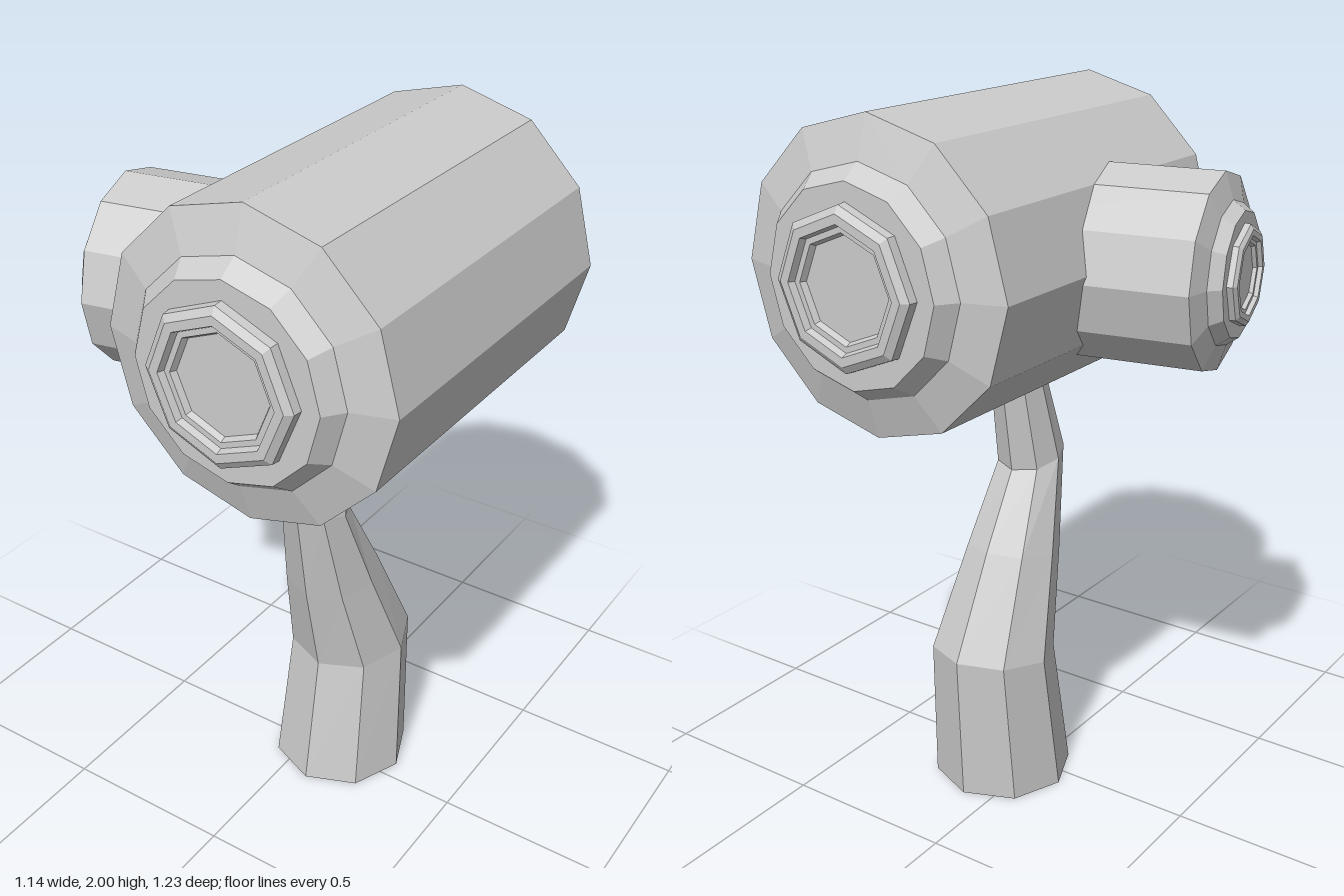
import * as THREE from 'three';

const material = new THREE.MeshStandardMaterial({
  color: 0xcccccc, flatShading: true, side: THREE.DoubleSide,
});

function makeMesh(name, geometry) {
  const mesh = new THREE.Mesh(geometry, material);
  mesh.name = name;
  return mesh;
}

// Faceted solid turned around the z axis from [radius, z] pairs
function turned(name, profile, sides) {
  const points = profile.map(([r, z]) => new THREE.Vector2(r, z));
  const geometry = new THREE.LatheGeometry(points, sides);
  geometry.rotateX(Math.PI / 2);
  return makeMesh(name, geometry);
}

// Twelve-sided drum with stepped ends and a recessed eight-sided cap on each
function makeHead(name) {
  const head = new THREE.Group();
  head.name = name;

  const half = [[0.412, 0.49], [0.3, 0.525], [0.262, 0.577], [0, 0.577]];
  const back = half.map(([r, z]) => [r, -z]).reverse();
  head.add(turned(name + 'Drum', [...back, ...half], 12));

  const capProfile = [
    [0.213, 0.57], [0.21, 0.602], [0.19, 0.615], [0.165, 0.615],
    [0.158, 0.597], [0.142, 0.597], [0.134, 0.581], [0, 0.581],
  ];
  for (const end of ['Front', 'Back']) {
    const cap = turned(name + end + 'Cap', capProfile, 8);
    if (end === 'Back') cap.rotation.y = Math.PI;
    head.add(cap);
  }
  return head;
}

// Bent eight-sided handle lofted through tilted rings
function makeHandle() {
  // centre x, centre y, centre z, radius, rise in y per unit of z
  const rings = [
    [0.085, 0, -0.057, 0.202, 0],
    [0.085, 0.42, -0.1, 0.178, -0.11],
    [0.081, 0.705, 0, 0.134, -0.19],
    [0.084, 0.967, 0.091, 0.096, 0.26],
    [0.09, 1.2, 0.042, 0.08, 0],
    [0.092, 1.32, 0.012, 0.075, 0],
  ];
  const sides = 8;
  const positions = [];
  const indices = [];
  for (const [x, y, z, r, tilt] of rings) {
    for (let i = 0; i < sides; i++) {
      const a = (i / sides) * Math.PI * 2;
      const dz = r * Math.cos(a);
      positions.push(x + r * Math.sin(a), y + tilt * dz, z + dz);
    }
  }
  for (let k = 0; k < rings.length - 1; k++) {
    for (let i = 0; i < sides; i++) {
      const a = k * sides + i;
      const b = k * sides + (i + 1) % sides;
      indices.push(a, b, b + sides, a, b + sides, a + sides);
    }
  }
  // End faces
  const top = (rings.length - 1) * sides;
  for (let i = 1; i < sides - 1; i++) {
    indices.push(0, i + 1, i, top, top + i, top + i + 1);
  }
  const geometry = new THREE.BufferGeometry();
  geometry.setAttribute('position', new THREE.Float32BufferAttribute(positions, 3));
  geometry.setIndex(indices);
  geometry.computeVertexNormals();
  return makeMesh('handle', geometry);
}

export function createModel() {
  const model = new THREE.Group();
  model.name = 'doubleHeadedMallet';

  // Large head, running front to back
  const mainHead = makeHead('mainHead');
  mainHead.position.set(0.155, 1.588, 0);

  // Smaller copy pushed through the right side, turned slightly forward
  const sideHead = makeHead('sideHead');
  sideHead.scale.setScalar(0.637);
  sideHead.rotation.y = Math.atan2(-0.983, 0.182);
  sideHead.position.set(-0.169, 1.567, 0.089);

  model.add(mainHead, sideHead, makeHandle());
  return model;
}
